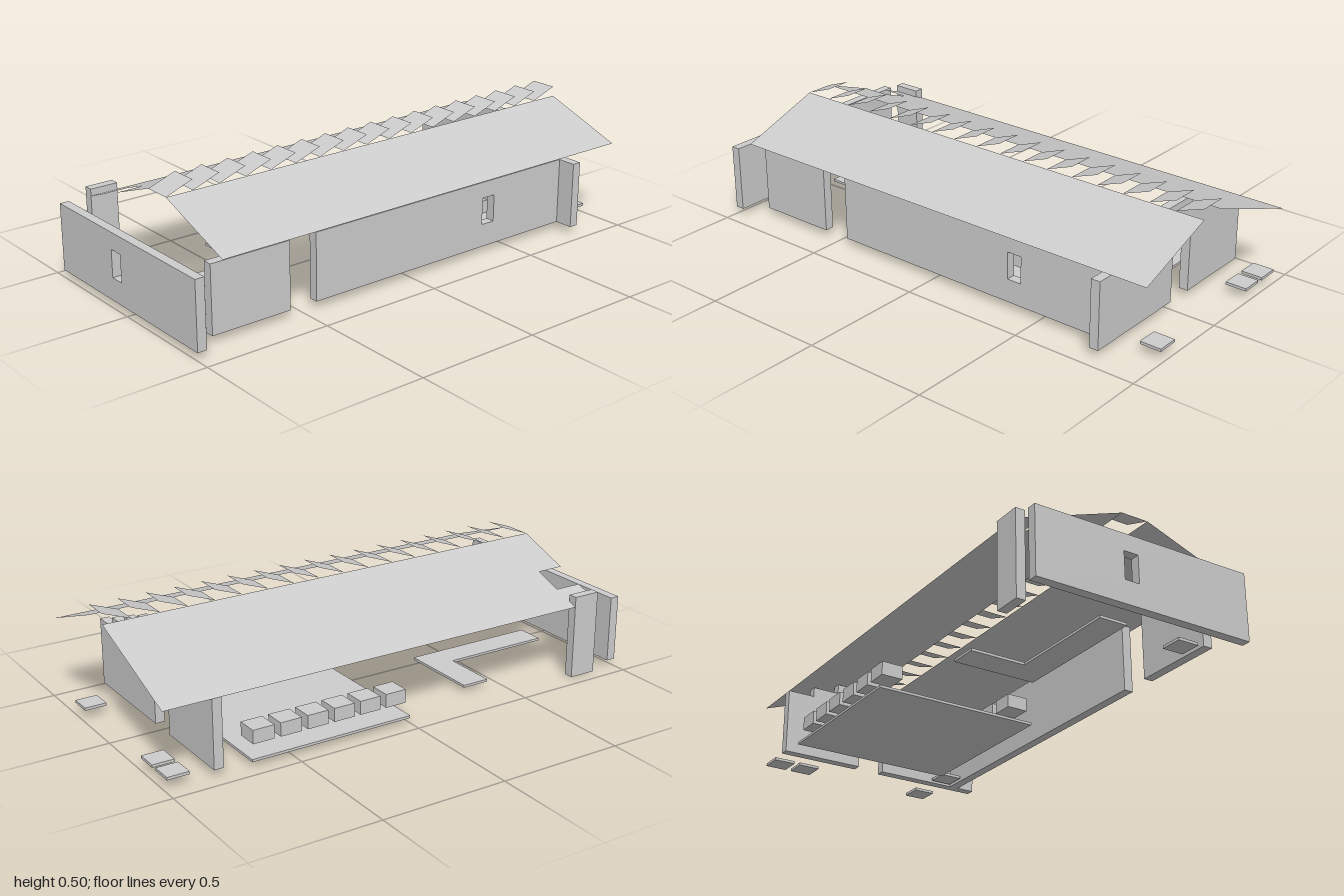
import * as THREE from 'three';

export function createModel() {
  const model = new THREE.Group();
  const stone = new THREE.MeshStandardMaterial({ color: 0xcccccc });
  stone.name = 'pale grey';
  const sheet = new THREE.MeshStandardMaterial({ color: 0xcccccc, side: THREE.DoubleSide });
  sheet.name = 'pale grey sheet';

  const add = (name, geometry, material = stone) => {
    const mesh = new THREE.Mesh(geometry, material);
    mesh.name = name;
    model.add(mesh);
    return mesh;
  };
  // Box given by its limits on each axis
  const box = (name, x0, x1, y0, y1, z0, z1) =>
    add(name, new THREE.BoxGeometry(x1 - x0, y1 - y0, z1 - z0))
      .position.set((x0 + x1) / 2, (y0 + y1) / 2, (z0 + z1) / 2);
  const outline = (points) => new THREE.Shape(points.map(([a, b]) => new THREE.Vector2(a, b)));
  const rect = (a0, a1, b0, b1) => [[a0, b0], [a1, b0], [a1, b1], [a0, b1]];
  const extrude = (shape, depth) => new THREE.ExtrudeGeometry(shape, { depth, bevelEnabled: false });

  const U = 0.037;   // wall thickness
  const C = 0.1111;  // layout cell
  const W = 0.445;   // half width
  const base = 0.03, eave = 0.295;

  // Front wall with a small window
  const front = outline(rect(-W, W, base, eave));
  front.holes.push(outline(rect(-0.087, -0.028, 0.12, 0.228)));
  add('frontWall', extrude(front, U)).position.z = 1 - U;

  // Stepped back gable with a doorway
  const gable = outline([
    [-W, base], [-C, base], [-C, eave], [0, eave], [0, base], [W, base],
    [W, eave], [3 * C, eave], [3 * C, 0.335], [2 * C, 0.335], [2 * C, 0.375], [C, 0.375], [C, 0.415],
    [-C, 0.415], [-C, 0.375], [-2 * C, 0.375], [-2 * C, 0.335], [-3 * C, 0.335], [-3 * C, eave], [-W, eave],
  ]);
  add('backGable', extrude(gable, U)).position.z = -0.815;

  // Side wall: short front piece, opening, long piece with a window
  box('sideWallFront', 3 * C, 3 * C + U, base, eave, 0.56, 0.89);
  const side = outline(rect(-0.445, 0.778, base, eave)); // drawn along -z
  side.holes.push(outline(rect(0.36, 0.42, 0.122, 0.23)));
  const sideWall = add('sideWallLong', extrude(side, U));
  sideWall.rotation.y = Math.PI / 2;
  sideWall.position.x = 3 * C;

  // Corner post
  box('cornerPost', -W, -W + U, 0, 0.335, 0.778, 0.89);

  // Roof slopes: outlines in plan (x, -z), lifted by a height rule
  const slope = (name, points, height) => {
    const g = new THREE.ShapeGeometry(outline(points));
    const p = g.attributes.position;
    for (let i = 0; i < p.count; i++) p.setXYZ(i, p.getX(i), height(p.getX(i)), -p.getY(i));
    g.computeVertexNormals();
    add(name, g, sheet);
  };
  slope('roofLeftSlope', [
    [-W, -0.89], [-3 * C, -0.89], [-3 * C, -0.778], [-2 * C, -0.778], [-2 * C, -0.89],
    [0, -0.89], [0, 1], [-W, 1],
  ], (x) => 0.455 + 0.36 * x);
  slope('roofRightSlope', rect(C, W, -0.89, 1), (x) => 0.455 - 0.36 * (x - C));

  // Row of tilted louvres along the ridge
  const rise = 0.04;
  for (let i = 0; i < 17; i++) {
    const louvre = add('ridgeLouvre', new THREE.PlaneGeometry(C, Math.hypot(C, rise)), sheet);
    louvre.rotation.x = -Math.PI / 2 + Math.atan2(rise, C);
    louvre.position.set(C / 2, 0.455 + rise / 2, 0.89 - (i + 0.5) * C);
  }

  // Floor platform and the L-shaped path
  box('floorPlatform', -W, 2 * C, 0.02, base, -6 * C, 0);
  const path = add('entryPath', extrude(outline([
    [-3 * C, -4 * C], [-C, -4 * C], [-C, -8 * C], [0, -8 * C], [0, -3 * C], [-3 * C, -3 * C],
  ]), 0.01));
  path.rotation.x = -Math.PI / 2;
  path.position.y = 0.02;

  // Two rows of seat blocks beside the platform edges
  const h = 0.043;
  for (const x of [-3.5 * C, 1.5 * C]) {
    for (let i = 0; i < 6; i++) {
      const z = -(i + 0.5) * C;
      box('seatBlock', x - h, x + h, 0.08, 0.133, z - h, z + h);
    }
  }

  // Loose ground pads
  for (const [cx, cz] of [[2.5, -8.5], [-2.5, -8.5], [-3.5, -8.5], [2.5, -6.5], [2.5, 7.5]]) {
    box('groundPad', cx * C - h, cx * C + h, 0.034, 0.045, cz * C - h, cz * C + h);
  }
  return model;
}
